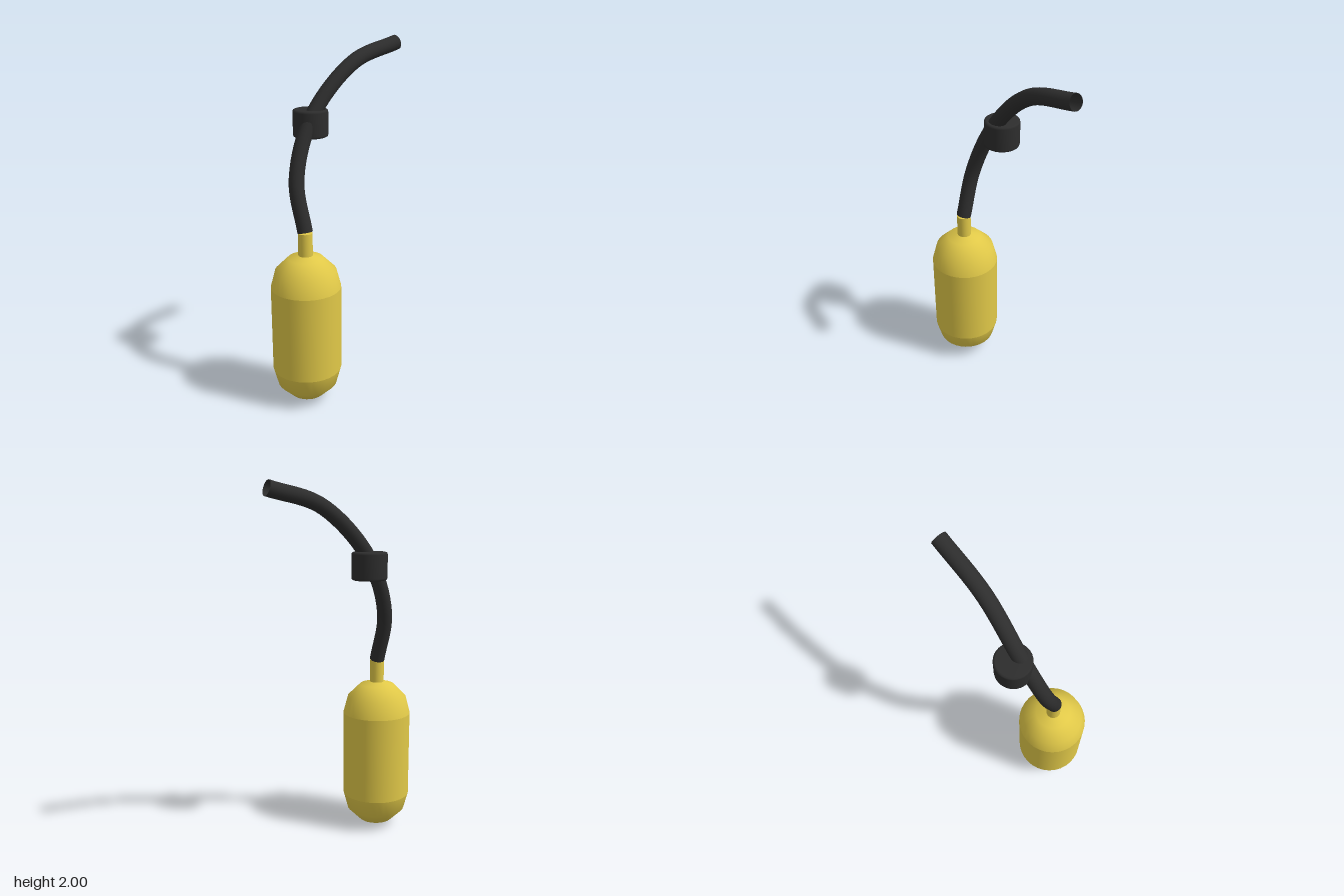
import * as THREE from 'three';

const yellow = new THREE.MeshStandardMaterial({ color: 0xe0c848 });
yellow.name = 'tank yellow';
const black = new THREE.MeshStandardMaterial({ color: 0x2d2d2d, side: THREE.DoubleSide });
black.name = 'rubber black';

const TANK_X = -0.24, TANK_Z = 0.085, TANK_R = 0.195;

function add(parent, name, geometry, material, x = 0, y = 0, z = 0) {
  const mesh = new THREE.Mesh(geometry, material);
  mesh.name = name;
  mesh.position.set(x, y, z);
  parent.add(mesh);
  return mesh;
}

// Coarse domed cap: three steps from rim to pole
function domeGeometry() {
  const points = [];
  for (let i = 0; i <= 3; i++) {
    const a = (i / 3) * Math.PI / 2;
    points.push(new THREE.Vector2(i === 3 ? 0 : TANK_R * Math.cos(a), TANK_R * Math.sin(a)));
  }
  return new THREE.LatheGeometry(points, 32);
}

export function createModel() {
  const model = new THREE.Group();
  model.name = 'tank with hose';

  // Tank: straight body, two domes and a neck
  const tank = new THREE.Group();
  tank.name = 'tank';
  tank.position.set(TANK_X, 0, TANK_Z);
  model.add(tank);
  add(tank, 'tankBody', new THREE.CylinderGeometry(TANK_R, TANK_R, 0.495, 32, 1, true), yellow, 0, 0.4425);
  add(tank, 'topDome', domeGeometry(), yellow, 0, 0.69);
  add(tank, 'bottomDome', domeGeometry(), yellow, 0, 0.195).rotation.x = Math.PI;
  add(tank, 'neck', new THREE.CylinderGeometry(0.04, 0.04, 0.15, 24), yellow, 0, 0.928);

  // Bent hose, open at both ends
  const path = new THREE.CatmullRomCurve3([
    [-0.24, 1.005, 0.085],
    [-0.262, 1.28, 0.015],
    [-0.145, 1.6, -0.067],
    [0.12, 1.87, -0.145],
    [0.415, 1.96, -0.243],
  ].map(p => new THREE.Vector3(...p)));
  add(model, 'hose', new THREE.TubeGeometry(path, 32, 0.042, 20), black);

  // Regulator drum with softened rims
  const rim = [[0, -0.075], [0.085, -0.075], [0.094, -0.071], [0.097, -0.062],
    [0.097, 0.062], [0.094, 0.071], [0.085, 0.075], [0, 0.075]];
  const drum = new THREE.LatheGeometry(rim.map(p => new THREE.Vector2(...p)), 32);
  add(model, 'regulator', drum, black, -0.14, 1.56, -0.11);

  return model;
}
